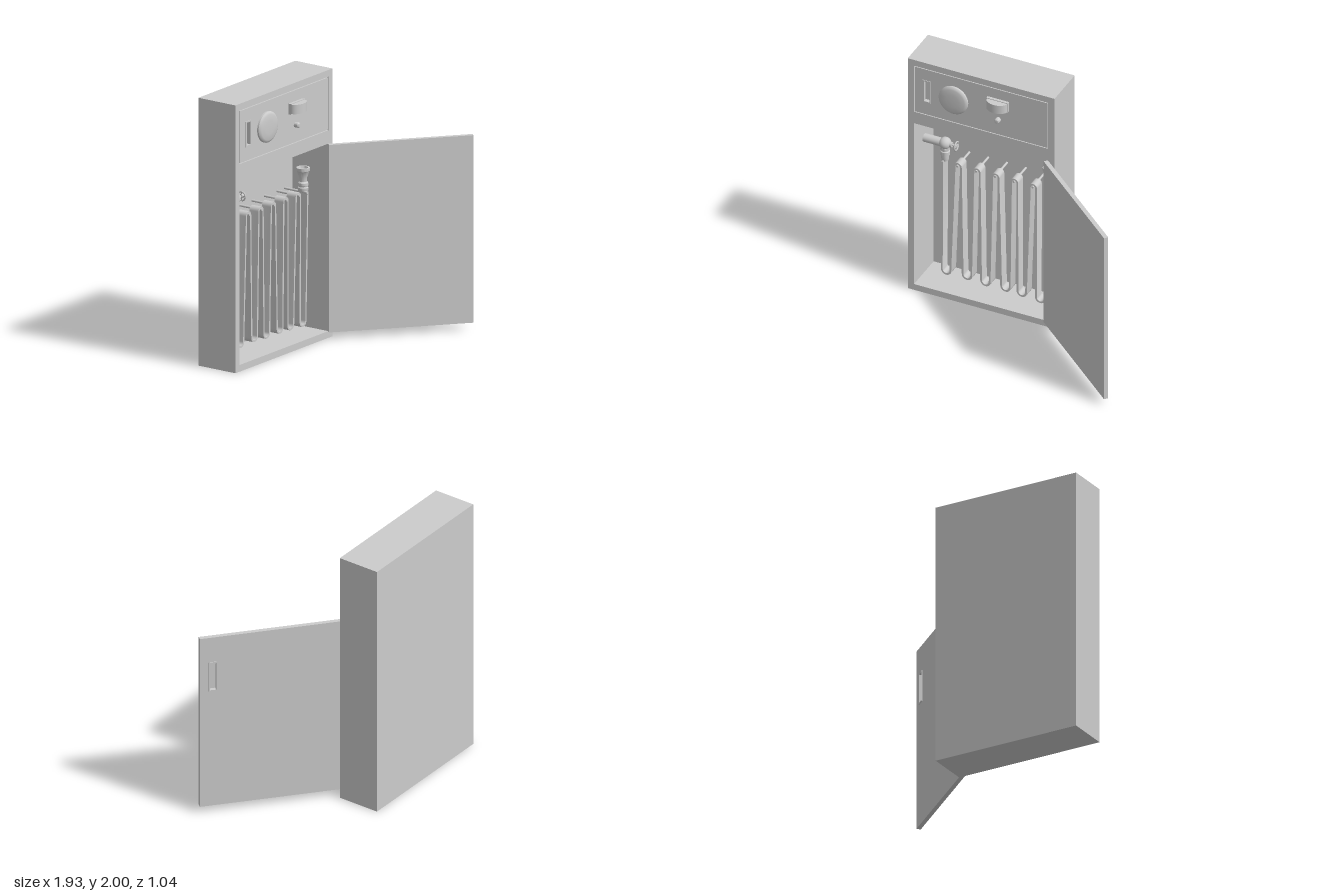
import * as THREE from 'three';
import { toCreasedNormals } from 'three/addons/utils/BufferGeometryUtils.js';

const mat = new THREE.MeshStandardMaterial({ color: 0xcccccc, side: THREE.DoubleSide });
const FRONT = -0.19, BACK = -0.52, HOSE_Z = -0.36;

function add(parent, name, geo, x = 0, y = 0, z = 0) {
  const m = new THREE.Mesh(geo, mat);
  m.name = name;
  m.position.set(x, y, z);
  parent.add(m);
  return m;
}
const box = (w, h, d) => new THREE.BoxGeometry(w, h, d);
const lathe = (pts, seg = 32) =>
  toCreasedNormals(new THREE.LatheGeometry(pts.map(p => new THREE.Vector2(...p)), seg), 0.6);

// Rectangular plate with rectangular holes, each [x0, y0, x1, y1]
function plate(outer, holes, depth) {
  const corners = ([a, b, c, d]) =>
    [[a, b], [c, b], [c, d], [a, d]].map(p => new THREE.Vector2(...p));
  const s = new THREE.Shape(corners(outer));
  for (const h of holes) s.holes.push(new THREE.Path(corners(h).reverse()));
  return new THREE.ExtrudeGeometry(s, { depth, bevelEnabled: false });
}

// Flat ribbon following a path in x/y, with its width along z
function ribbon(path, thick, width) {
  const left = [], right = [];
  path.forEach((p, i) => {
    const t = path[Math.min(i + 1, path.length - 1)].clone().sub(path[Math.max(i - 1, 0)]).normalize();
    const n = new THREE.Vector2(-t.y, t.x).multiplyScalar(thick / 2);
    left.push(p.clone().add(n));
    right.push(p.clone().sub(n));
  });
  const geo = new THREE.ExtrudeGeometry(new THREE.Shape([...left, ...right.reverse()]),
    { depth: width, bevelEnabled: false });
  geo.translate(0, 0, -width / 2);
  return toCreasedNormals(geo, 0.6);
}

function cabinet(g) {
  const body = new THREE.Group();
  body.name = 'cabinet';
  g.add(body);
  add(body, 'cabinetFrame', plate([-0.97, 0, 0.2, 2],
    [[-0.92, 0.05, 0.15, 1.45], [-0.92, 1.55, 0.15, 1.95]], 0.32), 0, 0, BACK + 0.01);
  add(body, 'backWall', box(1.17, 2, 0.01), -0.385, 1, BACK + 0.005);
  add(body, 'controlPanel', plate([-0.914, 1.556, 0.144, 1.944],
    [[-0.84, 1.67, -0.795, 1.84]], 0.03), 0, 0, FRONT - 0.03);
  add(body, 'panelBacking', box(1.07, 0.4, 0.02), -0.385, 1.75, FRONT - 0.035);
  add(body, 'panelPullRim', plate([-0.85, 1.66, -0.785, 1.85],
    [[-0.84, 1.67, -0.795, 1.84]], 0.005), 0, 0, FRONT);
}

function alarm(g) {
  // Bell with a rounded rim
  add(g, 'alarmBell', lathe([[0, 0], [0.105, 0], [0.115, 0.005], [0.115, 0.018], [0.108, 0.026],
    [0.095, 0.031], [0.05, 0.034], [0, 0.035]], 48), -0.6, 1.755, FRONT).rotation.x = Math.PI / 2;
  // Half-round lamp on a base
  add(g, 'lampBase', box(0.17, 0.08, 0.022), -0.247, 1.823, FRONT + 0.011);
  const lens = new THREE.CylinderGeometry(0.08, 0.08, 0.07, 24, 1, false, -Math.PI / 2, Math.PI);
  add(g, 'lampLens', lens, -0.247, 1.823, FRONT + 0.022).scale.z = 0.68;
  add(g, 'pushButton', lathe([[0, 0], [0.02, 0], [0.02, 0.028], [0.014, 0.036], [0, 0.038]], 20),
    -0.247, 1.687, FRONT).rotation.x = Math.PI / 2;
}

function door(g) {
  const d = new THREE.Group();
  d.name = 'door';
  d.position.set(0.147, 0, FRONT);
  d.rotation.y = -40 * Math.PI / 180;
  g.add(d);
  const hole = [0.945, 1.015, 0.99, 1.235];
  add(d, 'doorPanel', plate([0, 0.05, 1.065, 1.45], [hole], 0.023));
  add(d, 'doorInnerSkin', box(1.065, 1.4, 0.01), 0.5325, 0.75, 0.028);
  add(d, 'doorPullRim', plate([0.935, 1.003, 1.003, 1.247], [hole], 0.005), 0, 0, -0.005);
}

function valve(g) {
  const v = new THREE.Group();
  v.name = 'valve';
  v.position.set(-0.755, 1.222, HOSE_Z);
  g.add(v);
  const along = (name, r, x0, x1) =>
    add(v, name, new THREE.CylinderGeometry(r, r, x1 - x0, 24), (x0 + x1) / 2).rotation.z = Math.PI / 2;
  along('supplyPipe', 0.032, -0.165, 0);
  along('valveStem', 0.008, 0.03, 0.1);
  along('valveBonnet', 0.02, 0.03, 0.058);
  along('handwheelHub', 0.016, 0.08, 0.098);
  add(v, 'valveBody', new THREE.SphereGeometry(0.046, 24, 16));
  add(v, 'handwheelRim', new THREE.TorusGeometry(0.033, 0.006, 8, 24), 0.09).rotation.y = Math.PI / 2;
  for (const a of [0, Math.PI / 2])
    add(v, 'handwheelSpoke', box(0.006, 0.066, 0.008), 0.09).rotation.x = a;
  // Outlet and hose coupling
  add(v, 'outletCoupling', lathe([[0, -0.142], [0.026, -0.142], [0.028, -0.13], [0.028, -0.1],
    [0.035, -0.095], [0.035, -0.065], [0.029, -0.06], [0.029, -0.052], [0.036, -0.047],
    [0.036, -0.03], [0.028, -0.02], [0, -0.02]]));
}

function hose(g) {
  const bottoms = [-0.728, -0.562, -0.415, -0.255, -0.125, 0.022];
  const bottomY = [0.115, 0.12, 0.11, 0.11, 0.105, 0.095];
  const tops = [-0.635, -0.485, -0.335, -0.185, -0.035];
  const path = [new THREE.Vector2(-0.758, 1.085)];
  const turn = (cx, cy, r, dir) => {
    for (let i = 0; i <= 10; i++) {
      const a = Math.PI * (1 - i / 10);
      path.push(new THREE.Vector2(cx + r * Math.cos(a), cy + dir * r * Math.sin(a)));
    }
  };
  bottoms.forEach((x, i) => {
    turn(x, bottomY[i] + 0.035, 0.034, -1);
    if (i < tops.length) turn(tops[i], 1.075, 0.025, 1);
  });
  path.push(new THREE.Vector2(0.08, 1.085));
  add(g, 'foldedHose', ribbon(path, 0.014, 0.08), 0, 0, HOSE_Z);

  // Pegs carrying the upper folds
  for (const x of [...tops, 0.06]) {
    const len = HOSE_Z + 0.05 - BACK;
    add(g, 'hosePeg', new THREE.CylinderGeometry(0.009, 0.009, len, 12),
      x, 1.085, BACK + len / 2).rotation.x = Math.PI / 2;
  }
  // Nozzle at the free end
  add(g, 'nozzle', lathe([[0, 0], [0.034, 0], [0.037, 0.008], [0.037, 0.03], [0.03, 0.034],
    [0.03, 0.04], [0.037, 0.045], [0.037, 0.065], [0.028, 0.075], [0.028, 0.1], [0.045, 0.15],
    [0.049, 0.155], [0.049, 0.178], [0.036, 0.178], [0.024, 0.12], [0, 0.12]]), 0.077, 1.083, HOSE_Z);
}

export function createModel() {
  const g = new THREE.Group();
  g.name = 'fireHoseCabinet';
  cabinet(g);
  alarm(g);
  door(g);
  valve(g);
  hose(g);
  return g;
}
